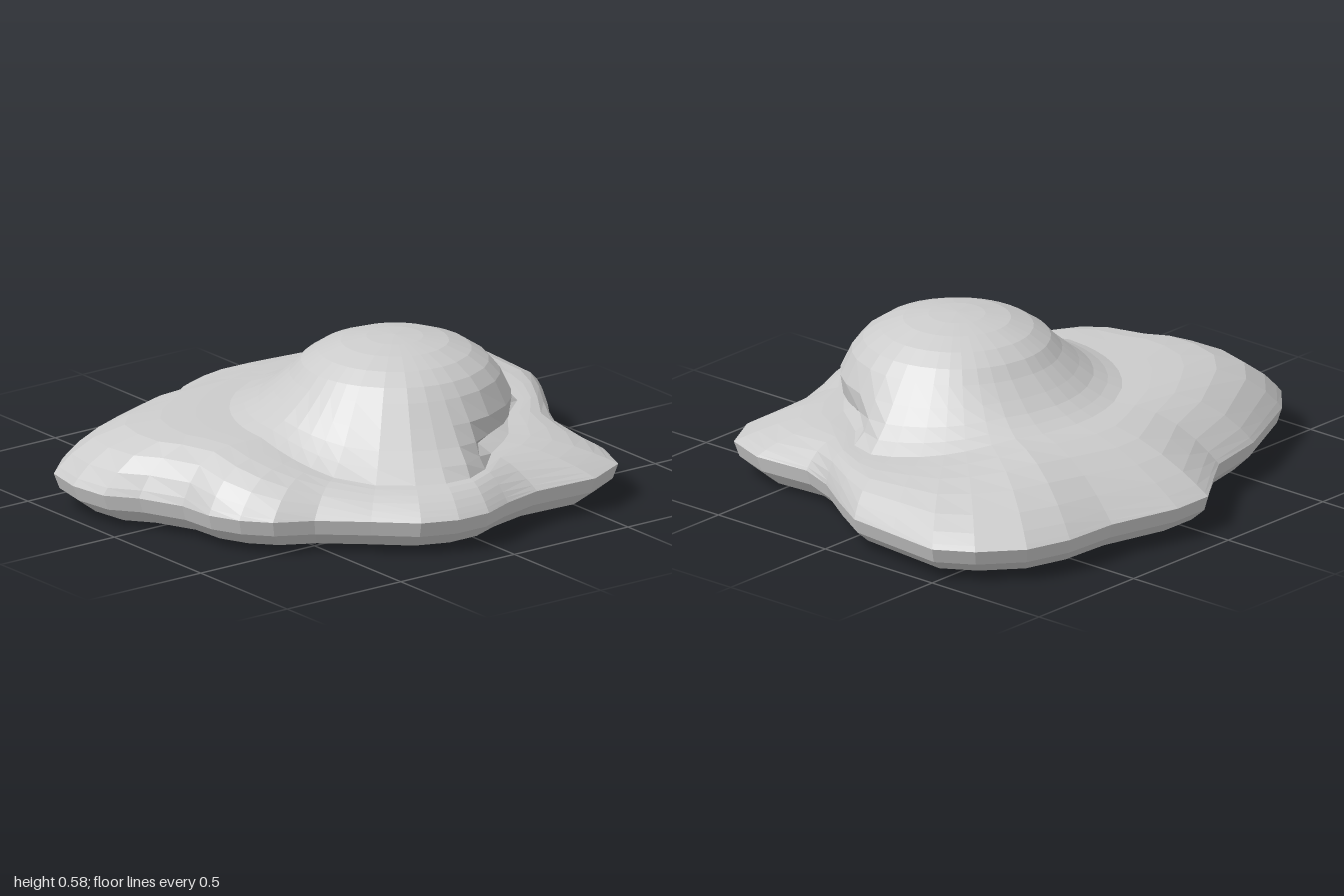
import * as THREE from 'three';

// Lobed footprint (x, z), from the front round through +x
const OUTLINE = [
  [-0.02, 0.88], [0.1, 0.83], [0.26, 0.79], [0.51, 0.8], [0.67, 0.72], [0.73, 0.56], [0.715, 0.34],
  [0.77, 0.2], [0.87, 0.05], [0.96, -0.1], [0.98, -0.3], [1, -0.5], [0.92, -0.63], [0.78, -0.75],
  [0.61, -0.8], [0.4, -0.81], [0.13, -0.88], [-0.03, -0.88], [-0.17, -0.78], [-0.29, -0.7],
  [-0.53, -0.65], [-0.68, -0.58], [-0.85, -0.5], [-0.97, -0.39], [-1, -0.24], [-0.98, -0.09],
  [-0.9, 0.01], [-0.83, 0.17], [-0.82, 0.31], [-0.77, 0.42], [-0.69, 0.51], [-0.56, 0.58],
  [-0.41, 0.71], [-0.28, 0.83], [-0.15, 0.88],
];
const DOME = { x: 0.09, z: 0.19 };

// Dome profiles [radius, height] from the top down: sloping all round, overhanging at front +x
const CAP = [[0, 0.58], [0.1, 0.575], [0.19, 0.56], [0.27, 0.53], [0.33, 0.49], [0.37, 0.445]];
const GENTLE = [...CAP, [0.43, 0.393], [0.48, 0.355], [0.53, 0.33], [0.58, 0.312]];
const STEEP = [...CAP, [0.41, 0.36], [0.4, 0.29], [0.34, 0.25], [0.4, 0.225]];
const SKIRT = [0.2, 0.4, 0.6, 0.78, 0.9, 0.97, 1];
// Underside rings: [scale of footprint, height]
const BASE = [[0.98, 0.07], [0.915, 0.02], [0.78, 0.003], [0, 0]];
const EDGE_Y = 0.125;

// One vertical section, from the dome top over the rim to the base centre
function section([ox, oz]) {
  const dx = ox - DOME.x, dz = oz - DOME.z;
  const reach = Math.hypot(dx, dz), ux = dx / reach, uz = dz / reach;
  const steep = THREE.MathUtils.smoothstep((ux + uz) * Math.SQRT1_2, 0.6, 0.95);
  // The foot of the slope sinks towards the front and the +x valley
  const sink = 0.1 * THREE.MathUtils.clamp(1.6 * Math.max(uz, ux - 0.5), 0, 1) * (1 - steep);
  const pts = [];
  const at = (r, y) => pts.push([DOME.x + ux * r, y, DOME.z + uz * r]);
  let r = 0, y = 0;
  GENTLE.forEach(([gr, gy], i) => {
    r = Math.min(THREE.MathUtils.lerp(gr, STEEP[i][0], steep), reach * 0.8);
    y = THREE.MathUtils.lerp(gy, STEEP[i][1], steep) - sink * Math.max(0, (i - 5) / 4);
    at(r, y);
  });
  // Skirt: plump on the side lobes, flatter at front and back
  const power = 1.8 + 3.5 * ux * ux * THREE.MathUtils.clamp(1 - 1.6 * uz, 0, 1);
  SKIRT.forEach((t) => at(THREE.MathUtils.lerp(r, reach, t), EDGE_Y + (y - EDGE_Y) * (1 - t ** power)));
  BASE.forEach(([s, by]) => pts.push([ox * s, by, oz * s]));
  return pts;
}

export function createModel() {
  const group = new THREE.Group();
  const sections = OUTLINE.map(section);
  const n = sections.length, m = sections[0].length;
  const index = [];
  for (let j = 0; j < n; j++) {
    const k = (j + 1) % n;
    for (let i = 0; i < m - 1; i++) {
      const a = j * m + i, b = a + 1, d = k * m + i, c = d + 1;
      if (i < m - 2) index.push(a, b, c);
      else index.push(a, b, d);
      if (i > 0 && i < m - 2) index.push(a, c, d);
    }
  }
  const geometry = new THREE.BufferGeometry();
  geometry.setAttribute('position', new THREE.Float32BufferAttribute(sections.flat(2), 3));
  geometry.setIndex(index);
  geometry.computeVertexNormals();

  const blob = new THREE.Mesh(
    geometry,
    new THREE.MeshStandardMaterial({ color: 0xcccccc, flatShading: true })
  );
  blob.name = 'domedBlob';
  group.add(blob);
  return group;
}
